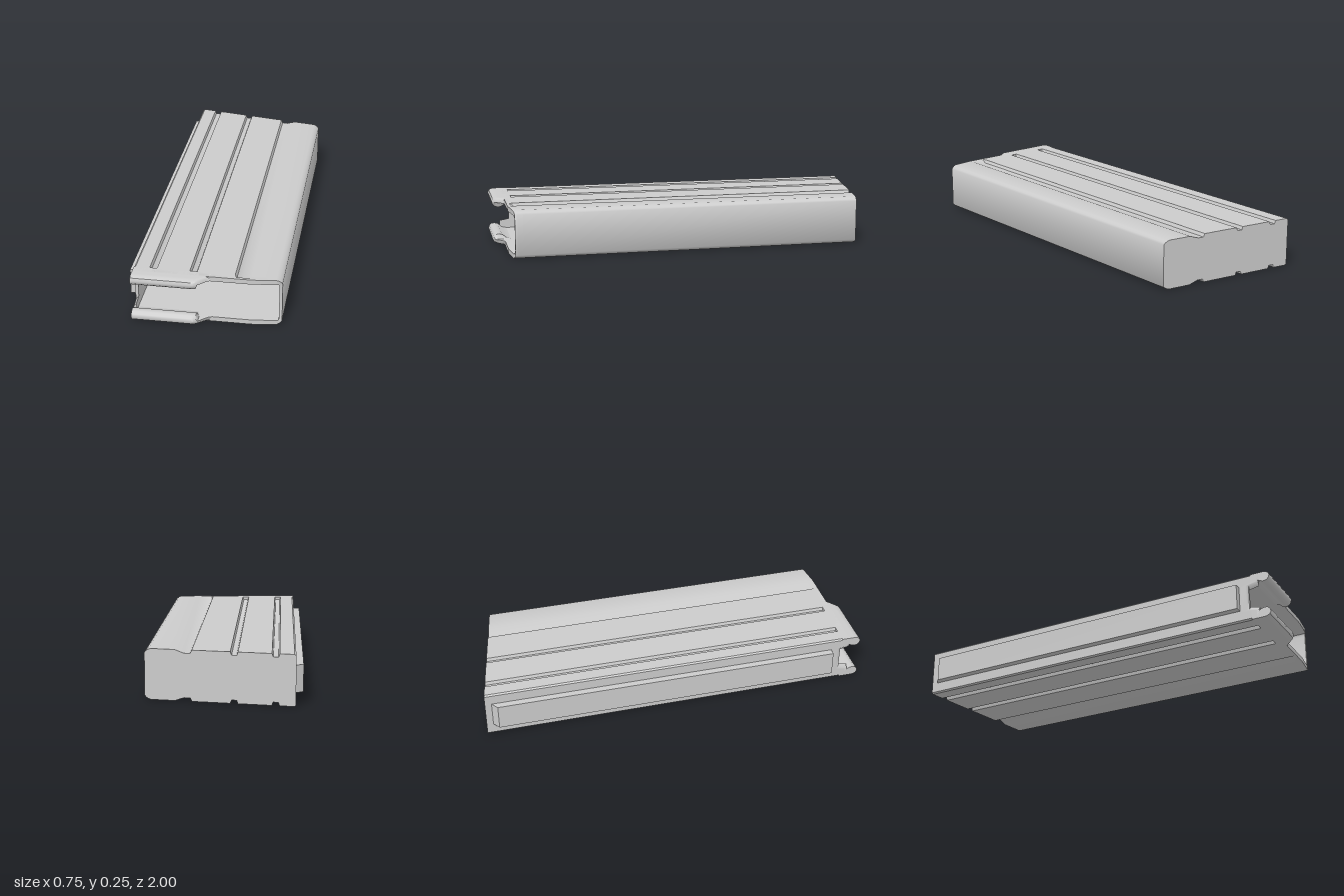
import * as THREE from 'three';
import { toCreasedNormals } from 'three/addons/utils/BufferGeometryUtils.js';

const H = 0.245;
const material = new THREE.MeshStandardMaterial({ color: 0xcccccc, side: THREE.DoubleSide });

// Upper half of the section from -x to +x: [x, y, groove depth]
const G = 0.016;
const half = [
  [-0.34, 0.19, 0], [-0.34, 0.2, 0], [-0.34, 0.238, 0], [-0.332, H, 0],
  [-0.264, H, 0], [-0.258, H, G], [-0.234, H, G], [-0.228, H, 0],
  [-0.07, H, 0], [-0.064, H, G], [-0.04, H, G], [-0.034, H, 0],
  [0.148, H, 0], [0.156, H, G], [0.185, H, G], [0.23, H, 0],
  [0.345, H, 0], [0.357, 0.241, 0], [0.368, 0.234, 0], [0.375, 0.225, 0],
];

const backZ = x => -1 + (x + 0.34) * 0.184;
// Front edge: side wall cut back, slight fall towards +x
const frontZ = (x, i) => (i === 0 ? 0.89 : x > 0.3 ? 0.94 - (x - 0.3) * 0.3 : 0.94);

// One closed loop of the section: upper half, then its mirror
function ring(zOf, inner, grooved) {
  const top = half.map(([x, y, g], i) => inner
    ? [THREE.MathUtils.clamp(x, -0.325, 0.36), Math.min(0.221, y - 0.02), zOf(x, i)]
    : [x, y - (grooved ? g : 0), zOf(x, i)]);
  return [...top, ...top.map(([x, y, z]) => [x, H - y, z]).reverse()];
}

// Hollow shell: outside, rim, inside, with both faces of the closed back
function shellGeometry() {
  const rings = [
    ring(backZ, false, true),
    ring((x, i) => frontZ(x, i) - 0.04, false, true),
    ring((x, i) => frontZ(x, i) - 0.015, false, false),
    ring(frontZ, false, false),
    ring(frontZ, true, false),
    ring(x => backZ(x) + 0.025, true, false),
  ];
  const n = half.length * 2, index = [];
  const quad = (a, b, c, d) => index.push(a, b, c, a, c, d);
  for (let r = 0; r < rings.length - 1; r++) {
    for (let i = 0; i < n; i++) {
      const j = (i + 1) % n;
      quad(r * n + i, (r + 1) * n + i, (r + 1) * n + j, r * n + j);
    }
  }
  const last = (rings.length - 1) * n;
  for (let i = 0; i < half.length - 1; i++) {
    const lo = n - 1 - i;
    quad(i, i + 1, lo - 1, lo);
    quad(last + i, last + lo, last + lo - 1, last + i + 1);
  }
  const geo = new THREE.BufferGeometry();
  geo.setAttribute('position', new THREE.Float32BufferAttribute(rings.flat(2), 3));
  geo.setIndex(index);
  return toCreasedNormals(geo, 0.7);
}

// Rolled lip across the open end, fading into the rim past the middle
function lipGeometry(isTop) {
  const profile = [
    [0.9, 0.222], [0.93, 0.215], [0.95, 0.199], [0.968, 0.194], [0.985, 0.197],
    [0.996, 0.208], [1, 0.222], [0.994, 0.236], [0.98, 0.243], [0.965, H], [0.9, H],
  ];
  const shape = new THREE.Shape(profile.map(([z, y]) => new THREE.Vector2(z, y)));
  const geo = new THREE.ExtrudeGeometry(shape, { depth: 0.38, steps: 38, bevelEnabled: false });
  geo.rotateY(-Math.PI / 2).translate(0.04, 0, 0);
  const p = geo.attributes.position;
  for (let i = 0; i < p.count; i++) {
    const x = p.getX(i);
    const fade = THREE.MathUtils.smoothstep(x, -0.045, 0.04);
    p.setZ(i, 0.9 + (p.getZ(i) - 0.9) * (1 - 0.6 * fade));
    if (x > -0.025) p.setY(i, Math.max(p.getY(i), 0.221));
    if (!isTop) p.setY(i, H - p.getY(i));
  }
  if (!isTop) {
    // Restore the winding after mirroring
    for (let i = 0; i < p.count; i += 3) {
      const b = [p.getX(i + 1), p.getY(i + 1), p.getZ(i + 1)];
      p.setXYZ(i + 1, p.getX(i + 2), p.getY(i + 2), p.getZ(i + 2));
      p.setXYZ(i + 2, ...b);
    }
  }
  return toCreasedNormals(geo, 0.7);
}

// Raised spine along the -x side, bevelled at its back end
function spineGeometry() {
  const geo = new THREE.BoxGeometry(0.04, 0.13, 1.81);
  geo.translate(-0.355, H / 2 + 0.001, -0.065);
  const p = geo.attributes.position;
  for (let i = 0; i < p.count; i++) {
    if (p.getZ(i) < 0 && p.getX(i) < -0.36) p.setZ(i, -0.94);
  }
  geo.computeVertexNormals();
  return geo;
}

export function createModel() {
  const model = new THREE.Group();
  model.name = 'hollowCase';
  const add = (name, geometry) => {
    const mesh = new THREE.Mesh(geometry, material);
    mesh.name = name;
    model.add(mesh);
  };
  add('shell', shellGeometry());
  add('topLip', lipGeometry(true));
  add('bottomLip', lipGeometry(false));
  add('sideSpine', spineGeometry());
  return model;
}
